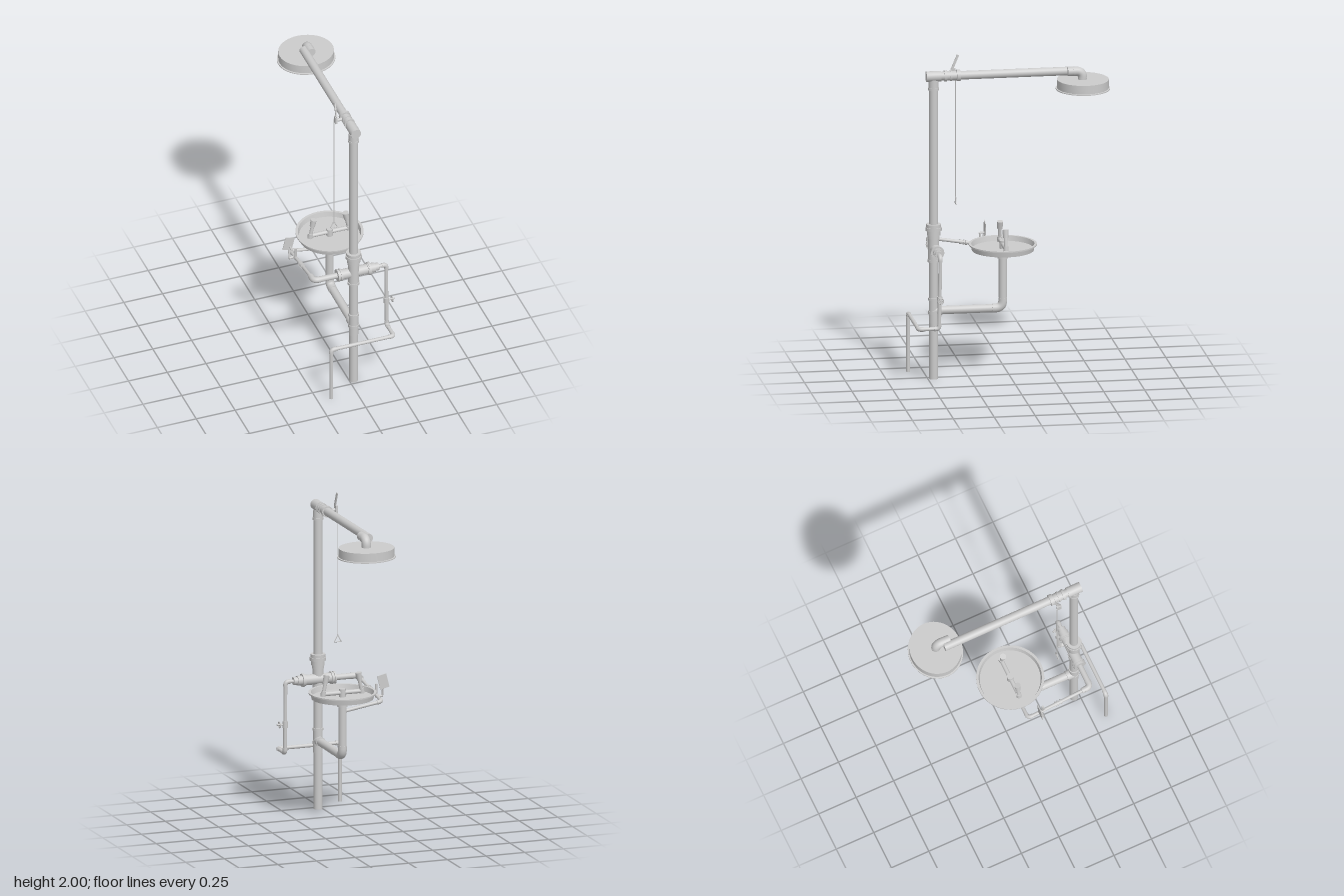
import * as THREE from 'three';
import { toCreasedNormals } from 'three/addons/utils/BufferGeometryUtils.js';

const mat = new THREE.MeshStandardMaterial({ color: 0xcccccc });
const thinMat = new THREE.MeshStandardMaterial({ color: 0xcccccc, side: THREE.DoubleSide });
const V = (p) => new THREE.Vector3(...p);
const UP = new THREE.Vector3(0, 1, 0);

function add(parent, name, geometry, material = mat) {
  const mesh = new THREE.Mesh(geometry, material);
  mesh.name = name;
  parent.add(mesh);
  return mesh;
}

// Straight cylinder (or cone) between two points
function rod(parent, name, a, b, r, r2 = r, seg = 24) {
  const p = V(a), q = V(b), d = q.clone().sub(p);
  const mesh = add(parent, name, new THREE.CylinderGeometry(r2, r, d.length(), seg));
  mesh.position.copy(p).add(q).multiplyScalar(0.5);
  mesh.quaternion.setFromUnitVectors(UP, d.normalize());
  return mesh;
}

// Pipe run through points, with rounded elbows at the inner ones
function pipe(parent, name, pts, r, bend, elbowR = r * 1.18) {
  const group = new THREE.Group();
  group.name = name;
  parent.add(group);
  const v = pts.map(V);
  let start = v[0];
  for (let i = 1; i < v.length; i++) {
    if (i === v.length - 1) {
      rod(group, 'pipeLength', start.toArray(), v[i].toArray(), r);
      break;
    }
    const back = v[i - 1].clone().sub(v[i]).normalize();
    const next = v[i + 1].clone().sub(v[i]).normalize();
    const a = v[i].clone().addScaledVector(back, bend);
    const b = v[i].clone().addScaledVector(next, bend);
    rod(group, 'pipeLength', start.toArray(), a.toArray(), r);
    const curve = new THREE.QuadraticBezierCurve3(a, v[i], b);
    add(group, 'elbow', new THREE.TubeGeometry(curve, 12, elbowR, 20));
    // Sockets close the elbow's ends
    for (const [end, dir] of [[a, back], [b, next]]) {
      rod(group, 'elbowSocket', end.toArray(), end.clone().addScaledVector(dir, r * 0.6).toArray(), elbowR);
    }
    start = b;
  }
  return group;
}

function lathe(parent, name, profile, x, z) {
  const geo = new THREE.LatheGeometry(profile.map((p) => new THREE.Vector2(...p)), 48);
  const mesh = add(parent, name, toCreasedNormals(geo, 0.6), thinMat);
  mesh.position.set(x, 0, z);
  return mesh;
}

export function createModel() {
  const model = new THREE.Group();
  model.name = 'safetyShower';
  const X = 0.027, Z = 0.465;

  // Main post with its rings: [bottom, top, radius]
  rod(model, 'post', [X, 0, Z], [X, 1.885, Z], 0.0265);
  for (const [y0, y1, r] of [
    [0.35, 0.5, 0.029], [0.405, 0.425, 0.033], [0.49, 0.505, 0.033],
    [0.73, 0.745, 0.037], [0.745, 0.88, 0.033], [0.875, 0.895, 0.037], [0.895, 0.925, 0.041],
    [0.925, 0.945, 0.05], [0.945, 0.965, 0.045], [1.8, 1.86, 0.03], [1.8, 1.815, 0.033],
  ]) rod(model, 'postFitting', [X, y0, Z], [X, y1, Z], r);

  // Overhead arm and its fittings along z
  const armY = 1.885;
  rod(model, 'overheadArm', [X, armY, 0.48], [X, armY, -0.4], 0.026);
  for (const [z0, z1, r] of [
    [0.51, 0.42, 0.032], [0.4, 0.385, 0.034], [0.385, 0.33, 0.029], [0.365, 0.355, 0.033], [0.325, 0.302, 0.035],
  ]) rod(model, 'armFitting', [X, armY, z0], [X, armY, z1], r);

  // Shower head on its elbow
  pipe(model, 'showerElbow', [[0.06, 1.89, -0.35], [0.06, 1.89, -0.44], [0.06, 1.835, -0.44]], 0.027, 0.04, 0.028);
  lathe(model, 'showerHead', [
    [0.179, 1.78], [0.179, 1.786], [0.17, 1.787], [0.17, 1.84], [0, 1.84],
  ], 0.06, -0.443).scale.z = 0.92;
  const lip = add(model, 'showerHeadLip', new THREE.RingGeometry(0.168, 0.179, 48), thinMat);
  lip.rotation.x = Math.PI / 2;
  lip.scale.y = 0.92;
  lip.position.set(0.06, 1.78, -0.443);

  // Shower lever and pull rod with triangular handle
  rod(model, 'leverPivot', [X, armY, 0.335], [-0.045, armY, 0.335], 0.01);
  const lever = add(model, 'showerLever', new THREE.BoxGeometry(0.008, 0.1, 0.014));
  lever.position.set(-0.036, 1.95, 0.325);
  lever.rotation.x = -0.4;
  const leverFoot = add(model, 'leverFoot', new THREE.BoxGeometry(0.012, 0.045, 0.03));
  leverFoot.position.set(-0.04, 1.89, 0.335);
  rod(model, 'pullRod', [-0.045, 1.105, 0.318], [-0.045, 1.885, 0.318], 0.003, 0.003, 8);
  const tri = [[-0.045, 1.11, 0.318], [-0.068, 1.067, 0.318], [-0.022, 1.067, 0.318]];
  tri.forEach((p, i) => rod(model, 'pullHandle', p, tri[(i + 1) % 3], 0.003, 0.003, 8));

  // Basin, its drain and the support pipe
  const bx = 0.03, bz = 0.042;
  lathe(model, 'basin', [
    [0, 0.787], [0.188, 0.787], [0.194, 0.818], [0.206, 0.819], [0.206, 0.827],
    [0.191, 0.827], [0.184, 0.796], [0, 0.796],
  ], bx, bz);
  rod(model, 'drainCup', [bx, 0.762, bz], [bx, 0.79, bz], 0.038, 0.046);
  rod(model, 'drainCollar', [bx, 0.735, bz], [bx, 0.765, bz], 0.032);
  pipe(model, 'basinSupport', [[bx, 0.765, bz], [bx, 0.425, bz], [X, 0.425, Z]], 0.025, 0.05, 0.027);
  rod(model, 'supportTee', [X, 0.425, Z], [X, 0.425, 0.415], 0.03);

  // Eyewash: cross bar, centre cap and two nozzles
  rod(model, 'eyewashCap', [bx, 0.79, bz], [bx, 0.845, bz], 0.02);
  rod(model, 'eyewashBar', [bx - 0.122, 0.822, bz], [bx + 0.122, 0.822, bz], 0.013);
  for (const s of [-1, 1]) {
    const at = (dx, y) => [bx + s * dx, y, bz];
    rod(model, 'nozzleElbow', at(0.126, 0.808), at(0.122, 0.84), 0.016);
    rod(model, 'nozzleStem', at(0.124, 0.82), at(0.108, 0.9), 0.011);
    rod(model, 'nozzle', at(0.111, 0.89), at(0.102, 0.938), 0.016, 0.019);
  }

  // Cross fitting along x on the post
  const cy = 0.81, cz = 0.457;
  for (const [x0, x1, r] of [
    [-0.06, 0.115, 0.032], [-0.078, -0.068, 0.039], [-0.06, -0.05, 0.039], [-0.07, -0.055, 0.034],
    [0.115, 0.122, 0.037], [0.122, 0.135, 0.041], [0.135, 0.165, 0.03], [0.165, 0.19, 0.024],
  ]) rod(model, 'crossFitting', [x0, cy, cz], [x1, cy, cz], r);

  // Eyewash feed: large elbow, then a thin pipe sloping to the basin
  const fx = -0.225;
  pipe(model, 'feedElbow', [[-0.06, cy, cz], [fx, cy, cz], [fx, 0.805, 0.4]], 0.018, 0.03, 0.019);
  pipe(model, 'eyewashFeed', [[fx, 0.805, 0.41], [fx, 0.745, bz], [bx, 0.703, bz]], 0.0105, 0.025, 0.013);
  const feedY = (z) => 0.745 + (z - bz) * 0.163;
  for (const z of [0.225, 0.24, 0.26]) {
    rod(model, 'feedValveRing', [fx, feedY(z - 0.005), z - 0.005], [fx, feedY(z + 0.005), z + 0.005], 0.015);
  }

  // Push paddle and its bracket
  const paddle = add(model, 'pushPaddle', new THREE.BoxGeometry(0.06, 0.086, 0.005));
  paddle.position.set(-0.258, 0.85, 0.106);
  paddle.rotation.z = -0.24;
  rod(model, 'paddleStem', [-0.258, 0.82, 0.11], [-0.258, 0.75, 0.125], 0.006, 0.006, 12);
  rod(model, 'paddleArm', [-0.262, 0.757, 0.125], [fx, 0.757, 0.125], 0.009, 0.009, 12);
  rod(model, 'paddleStop', [-0.25, 0.825, 0.105], [-0.25, 0.825, 0.145], 0.006, 0.006, 12);
  rod(model, 'paddlePost', [fx, 0.745, 0.14], [fx, 0.83, 0.14], 0.007, 0.007, 12);

  // Drain-down line from the cross to the floor
  pipe(model, 'drainLine', [
    [0.18, cy, cz], [0.24, cy, cz], [0.24, 0.365, 0.465], [0.24, 0.365, 0.59], [-0.163, 0.365, 0.59], [-0.163, 0, 0.59],
  ], 0.0115, 0.022, 0.014);

  // Small valve with handwheel on the drain line
  rod(model, 'valveBody', [0.24, 0.525, 0.461], [0.24, 0.565, 0.461], 0.017);
  rod(model, 'valveStem', [0.24, 0.545, 0.461], [0.293, 0.545, 0.461], 0.006, 0.006, 12);
  const wheel = add(model, 'valveHandwheel', new THREE.TorusGeometry(0.018, 0.003, 8, 24));
  wheel.position.set(0.277, 0.545, 0.461);
  wheel.rotation.y = Math.PI / 2;
  for (const [dy, dz] of [[0.018, 0], [0, 0.018]]) {
    rod(model, 'handwheelSpoke', [0.277, 0.545 - dy, 0.461 - dz], [0.277, 0.545 + dy, 0.461 + dz], 0.003, 0.003, 8);
  }

  return model;
}
